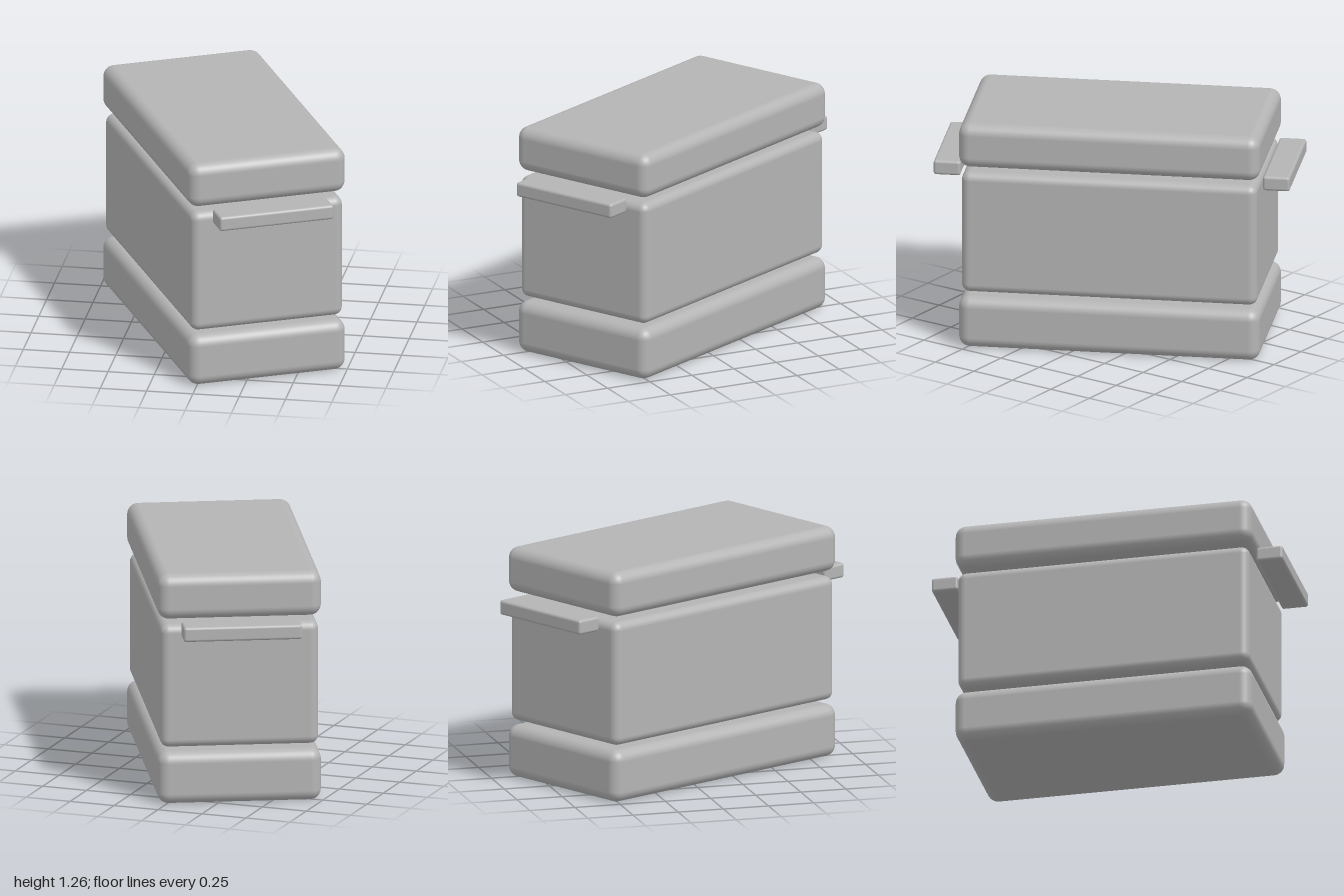
import * as THREE from 'three';
import { RoundedBoxGeometry } from 'three/addons/geometries/RoundedBoxGeometry.js';

export function createModel() {
  const model = new THREE.Group();
  model.name = 'handledBox';
  const grey = new THREE.MeshStandardMaterial({ color: 0xb4b4b4 });
  grey.name = 'plain grey';

  // The whole box stands turned about the vertical axis
  const box = new THREE.Group();
  box.name = 'turnedBox';
  box.rotation.y = THREE.MathUtils.degToRad(26.7);
  model.add(box);

  // Rounded block spanning y0..y1, centred at local z
  const block = (name, width, y0, y1, depth, radius, z = 0) => {
    const mesh = new THREE.Mesh(new RoundedBoxGeometry(width, y1 - y0, depth, 5, radius), grey);
    mesh.name = name;
    mesh.position.set(0, (y0 + y1) / 2, z);
    box.add(mesh);
  };

  // Base, body and lid, separated by narrow gaps
  block('base', 0.876, 0, 0.285, 1.62, 0.06);
  block('body', 0.846, 0.31, 0.985, 1.59, 0.045);
  block('lid', 0.876, 1.015, 1.26, 1.62, 0.06);

  // A flat grip at each short end
  for (const [name, side] of [['frontHandle', 1], ['backHandle', -1]]) {
    block(name, 0.635, 0.932, 1.012, 0.145, 0.015, side * 0.886);
  }
  return model;
}
